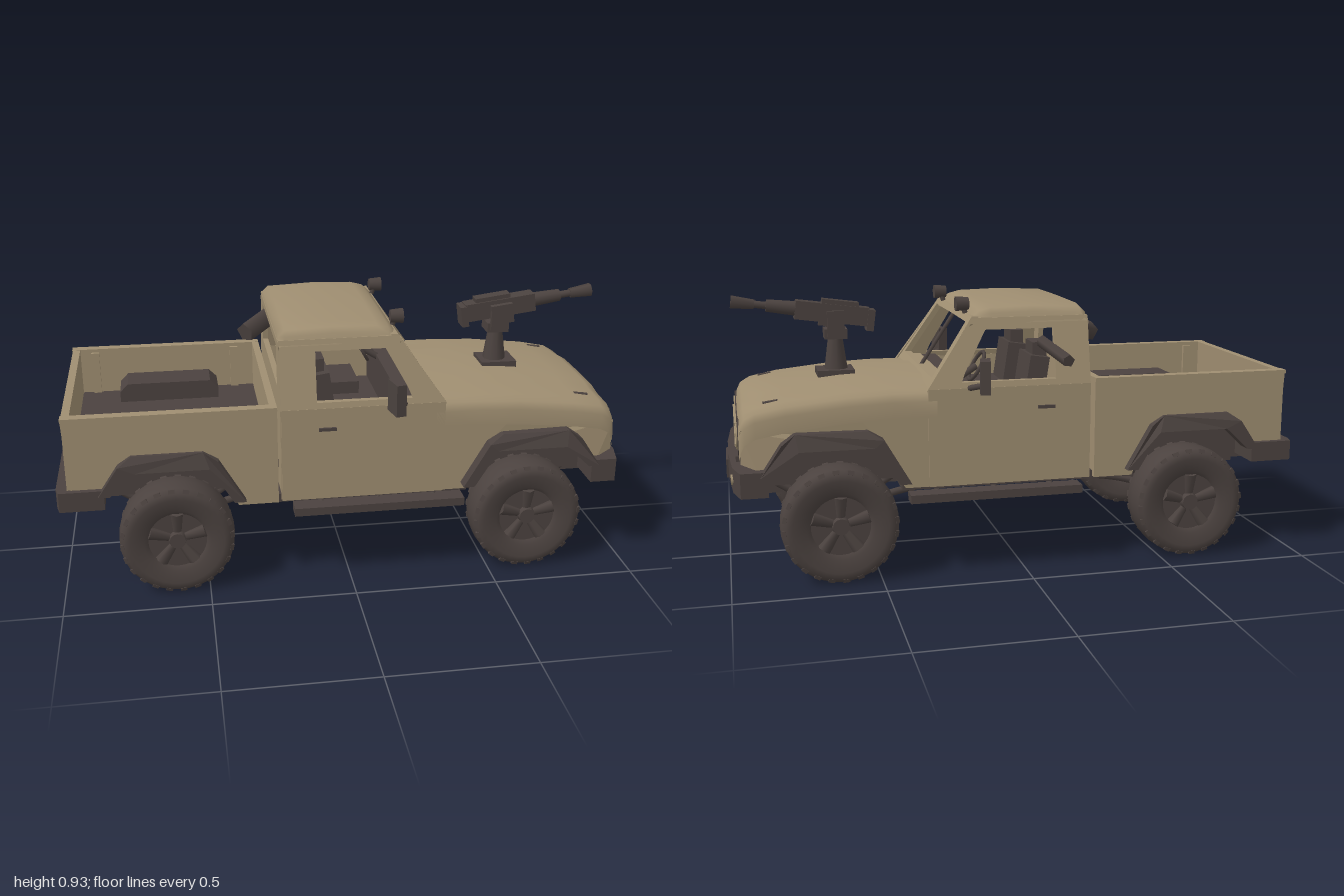
import * as THREE from 'three';

const paint = new THREE.MeshStandardMaterial({ color: 0x9f8e71, side: THREE.DoubleSide });
paint.name = 'sand paint';
const trim = new THREE.MeshStandardMaterial({ color: 0x4b423f, side: THREE.DoubleSide });
trim.name = 'dark trim';

export function createModel() {
  const root = new THREE.Group();
  root.name = 'pickupTruck';

  const add = (geo, mat, name, parent = root) => {
    const m = new THREE.Mesh(geo, mat);
    m.name = name;
    parent.add(m);
    return m;
  };
  // Box given by its min and max corners
  const box = (x0, x1, y0, y1, z0, z1, mat, name, parent = root) => {
    const m = add(new THREE.BoxGeometry(x1 - x0, y1 - y0, z1 - z0), mat, name, parent);
    m.position.set((x0 + x1) / 2, (y0 + y1) / 2, (z0 + z1) / 2);
    return m;
  };
  // Rod between two points
  const rod = (a, b, r0, r1, mat, name, parent = root, sides = 10) => {
    const p = new THREE.Vector3(...a), q = new THREE.Vector3(...b), d = q.clone().sub(p);
    const m = add(new THREE.CylinderGeometry(r1, r0, d.length(), sides), mat, name, parent);
    m.position.copy(p).add(q).multiplyScalar(0.5);
    m.quaternion.setFromUnitVectors(new THREE.Vector3(0, 1, 0), d.normalize());
    return m;
  };
  const tube = (pts, r, mat, name) => add(new THREE.TubeGeometry(
    new THREE.CatmullRomCurve3(pts.map(p => new THREE.Vector3(...p))), 16, r, 7), mat, name);
  // Flat outline, with optional hole, extruded from z0 to z1
  const extrude = (pts, z0, z1, hole) => {
    const s = new THREE.Shape(pts.map(p => new THREE.Vector2(...p)));
    if (hole) s.holes.push(new THREE.Path(hole.map(p => new THREE.Vector2(...p))));
    return new THREE.ExtrudeGeometry(s, { depth: z1 - z0, bevelEnabled: false }).translate(0, 0, z0);
  };
  const warp = (geo, fn) => {
    const p = geo.attributes.position, v = new THREE.Vector3();
    for (let i = 0; i < p.count; i++) {
      fn(v.fromBufferAttribute(p, i));
      p.setXYZ(i, v.x, v.y, v.z);
    }
    geo.computeVertexNormals();
    return geo;
  };
  // Skin through open cross-sections, rows of [x, y, z]
  const loft = rows => {
    const n = rows[0].length, idx = [];
    for (let i = 0; i < rows.length - 1; i++) for (let j = 0; j < n - 1; j++) {
      const a = i * n + j, b = a + n;
      idx.push(a, a + 1, b, b, a + 1, b + 1);
    }
    const g = new THREE.BufferGeometry();
    g.setAttribute('position', new THREE.Float32BufferAttribute(rows.flat(2), 3));
    g.setIndex(idx);
    g.computeVertexNormals();
    return g;
  };
  const mirrorRow = half => [...half, ...half.slice(0, -1).reverse().map(([x, y, z]) => [x, y, -z])];

  // Front body block with wheel arches, narrowing at the nose
  add(warp(extrude([[0.3, 0.31], [0.41, 0.31], [0.43, 0.34], [0.5, 0.49], [0.74, 0.49], [0.82, 0.41],
    [0.9, 0.4], [0.95, 0.42], [0.95, 0.53], [0.9, 0.56], [0.6, 0.6], [0.3, 0.61]], -0.354, 0.354),
  v => { v.z *= 1 - 0.75 * Math.max(0, v.x - 0.88); }), paint, 'frontBody');
  // Hood
  add(loft([[0.3, 0.652, 0.36], [0.45, 0.652, 0.36], [0.6, 0.645, 0.36], [0.8, 0.624, 0.358], [0.9, 0.605, 0.352],
    [0.935, 0.585, 0.345], [0.95, 0.555, 0.338], [0.954, 0.53, 0.333]].map(([x, y, w]) => mirrorRow([
    [x, y - 0.1, w], [x, y - 0.045, w], [x, y - 0.018, w - 0.014], [x, y - 0.005, w - 0.045],
    [x, y, 0.2], [x, y + 0.01, 0.15], [x, y + 0.012, 0]]))), paint, 'hood');
  // Nose: three grille slots and headlights
  for (const [y, w] of [[0.457, 0.145], [0.497, 0.155], [0.535, 0.165]]) {
    box(0.95, 0.957, y - 0.011, y + 0.011, -w, w, trim, 'grilleSlot');
    box(0.95, 0.966, y - 0.022, y - 0.011, -w, w, paint, 'grilleBar');
  }
  for (const s of [-1, 1]) {
    for (const [r, x, mat, name] of [[0.066, 0.952, trim, 'headlightBezel'], [0.045, 0.957, paint, 'headlight']]) {
      const m = add(new THREE.CylinderGeometry(r, r, 0.009, name === 'headlight' ? 12 : 6), mat, name);
      m.rotation.z = Math.PI / 2;
      m.position.set(x, 0.495, s * 0.245);
    }
    rod([0.82, 0.615, s * 0.27], [0.87, 0.608, s * 0.27], 0.006, 0.006, trim, 'hoodLatch');
  }

  // Cab sides, leaning in above the belt line
  for (const s of [-1, 1]) {
    const span = (a, b) => s > 0 ? [a, b] : [-b, -a];
    add(extrude([[-0.238, 0.31], [0.33, 0.31], [0.33, 0.645], [-0.238, 0.645]], ...span(0.335, 0.36)), paint, 'door');
    add(warp(extrude([[-0.238, 0.64], [0.335, 0.64], [0.3, 0.69], [0.17, 0.875], [-0.238, 0.875]], ...span(0.338, 0.36),
      [[-0.115, 0.665], [0.215, 0.665], [0.2, 0.7], [0.125, 0.835], [-0.115, 0.835]]),
    v => { v.z -= s * (v.y - 0.64) * 0.23; }), paint, 'cabSide');
    box(-0.11, -0.05, 0.565, 0.576, ...span(0.36, 0.368), trim, 'doorHandle');
    // Mirrors
    const mirror = box(0.13, 0.165, 0.637, 0.748, ...span(0.375, 0.453), trim, 'mirror');
    mirror.rotation.y = s * 0.2;
    rod([0.2, 0.64, s * 0.34], [0.15, 0.66, s * 0.4], 0.01, 0.01, trim, 'mirrorArm');
    // Roof lamps
    rod([0.17, 0.88, s * 0.2], [0.18, 0.91, s * 0.2], 0.009, 0.009, trim, 'roofLampStem');
    rod([0.16, 0.913, s * 0.205], [0.205, 0.913, s * 0.205], 0.022, 0.026, trim, 'roofLamp');
    // Running boards
    box(-0.2, 0.4, 0.266, 0.295, ...span(0.335, 0.4), trim, 'runningBoard');
    for (const x of [-0.1, 0.1, 0.3]) rod([x, 0.28, s * 0.36], [x, 0.33, s * 0.25], 0.01, 0.01, trim, 'boardBracket');
  }
  // Roof
  add(loft([[-0.24, 0.855, 0.312], [-0.236, 0.89, 0.307], [-0.215, 0.91, 0.305], [-0.05, 0.917, 0.305], [0.1, 0.913, 0.303],
    [0.14, 0.903, 0.302], [0.165, 0.88, 0.304], [0.178, 0.855, 0.31]].map(([x, y, w]) => mirrorRow([
    [x, Math.min(0.855, y), w + 0.006], [x, y - 0.025, w - 0.006], [x, y - 0.008, w - 0.022], [x, y, w - 0.06], [x, y + 0.002, 0]]))),
  paint, 'roof');
  // Rear cab wall and windshield frame
  const rear = extrude([[-0.35, 0.31], [0.35, 0.31], [0.35, 0.64], [0.305, 0.87], [-0.305, 0.87], [-0.35, 0.64]], -0.24, -0.22,
    [[-0.26, 0.7], [0.26, 0.7], [0.245, 0.845], [-0.245, 0.845]]);
  add(rear.rotateY(Math.PI / 2), paint, 'rearCabWall');
  const screen = extrude([[-0.355, 0.635], [0.355, 0.635], [0.305, 0.88], [-0.305, 0.88]], 0.305, 0.33,
    [[-0.295, 0.675], [0.295, 0.675], [0.268, 0.86], [-0.268, 0.86]]).rotateY(Math.PI / 2);
  add(warp(screen, v => { v.x -= (v.y - 0.64) * 0.67; }), paint, 'windshieldFrame');
  rod([0.3, 0.66, 0], [0.165, 0.865, 0], 0.007, 0.007, trim, 'windshieldBar');

  // Cab interior
  box(-0.22, 0.31, 0.32, 0.5, -0.335, 0.335, trim, 'cabFloor');
  box(0.18, 0.24, 0.5, 0.655, -0.335, 0.335, trim, 'dashboard');
  box(0.24, 0.3, 0.5, 0.66, -0.335, 0.335, paint, 'cowl');
  for (const z of [0.16, -0.16]) {
    box(-0.08, 0.1, 0.5, 0.58, z - 0.1, z + 0.1, trim, 'seatCushion');
    box(-0.11, -0.04, 0.52, 0.725, z - 0.08, z + 0.08, trim, 'seatBack').rotation.z = 0.15;
    box(-0.12, -0.07, 0.69, 0.77, z - 0.05, z + 0.05, trim, 'headrest');
  }
  const wheelRing = add(new THREE.TorusGeometry(0.055, 0.007, 6, 20), trim, 'steeringWheel');
  wheelRing.position.set(0.12, 0.685, -0.15);
  wheelRing.rotation.set(0, Math.PI / 2, 0.5, 'ZYX');
  rod([0.12, 0.685, -0.15], [0.2, 0.635, -0.15], 0.012, 0.012, trim, 'steeringColumn');
  // Stowed gear reaching out of the rear and side windows
  rod([-0.22, 0.815, -0.19], [-0.32, 0.785, -0.08], 0.036, 0.036, trim, 'stowedGear', root, 5);
  rod([-0.1, 0.775, -0.22], [-0.13, 0.74, -0.45], 0.022, 0.022, trim, 'stowedBar', root, 5);

  // Cargo bed
  for (const s of [-1, 1]) {
    const [a, b] = s > 0 ? [0.338, 0.368] : [-0.368, -0.338];
    add(extrude([[-0.965, 0.66], [-0.95, 0.4], [-0.83, 0.4], [-0.75, 0.49], [-0.48, 0.49], [-0.39, 0.31], [-0.252, 0.31],
      [-0.252, 0.66]], a, b), paint, 'bedSide');
    box(-0.965, -0.252, 0.65, 0.663, s > 0 ? 0.338 : -0.374, s > 0 ? 0.374 : -0.338, paint, 'bedRail');
    const arch = [[-0.79, 0.47], [-0.79, 0.53], [-0.76, 0.56], [-0.45, 0.56], [-0.42, 0.53], [-0.42, 0.47]];
    add(extrude(arch, s > 0 ? 0.21 : -0.34, s > 0 ? 0.34 : -0.21), trim, 'bedWheelBox');
    for (const x of [-0.88, -0.35]) box(x - 0.015, x + 0.015, 0.48, 0.65, s * 0.333 - 0.008, s * 0.333 + 0.008, paint, 'bedRib');
  }
  box(-0.962, -0.935, 0.4, 0.662, -0.366, 0.366, paint, 'tailgate');
  box(-0.277, -0.252, 0.31, 0.662, -0.366, 0.366, paint, 'bedFrontWall');
  box(-0.94, -0.27, 0.46, 0.49, -0.34, 0.34, trim, 'bedFloor');

  // Underbody
  box(-0.92, 0.9, 0.32, 0.47, -0.25, 0.25, trim, 'underbody');
  box(-0.39, 0.42, 0.3, 0.33, -0.345, 0.345, trim, 'floorPan');
  for (const s of [-1, 1]) box(-0.85, 0.85, 0.292, 0.34, s * 0.17 - 0.025, s * 0.17 + 0.025, trim, 'frameRail');

  // Bumpers, bowed in plan
  const bumper = (outline, y0, y1, name) => add(extrude(outline, -y1, -y0).rotateX(Math.PI / 2), trim, name);
  bumper([[0.865, -0.388], [0.955, -0.388], [0.978, -0.3], [0.99, -0.1], [0.99, 0.1], [0.978, 0.3], [0.955, 0.388], [0.865, 0.388]],
    0.317, 0.402, 'frontBumper');
  bumper([[-0.84, 0.388], [-0.99, 0.388], [-1, 0.35], [-1, -0.35], [-0.99, -0.388], [-0.84, -0.388]], 0.335, 0.405, 'rearBumper');
  box(0.985, 0.998, 0.315, 0.38, -0.09, 0.09, trim, 'frontPlate');
  box(0.8, 0.92, 0.275, 0.32, -0.18, 0.18, trim, 'skidPlate');
  for (const s of [-1, 1]) {
    rod([0.973, 0.36, s * 0.29], [0.984, 0.36, s * 0.29], 0.017, 0.017, paint, 'bumperLamp');
    box(0.93, 0.965, 0.39, 0.42, s * 0.2 - 0.02, s * 0.2 + 0.02, trim, 'bumperBracket');
  }

  // Wheels, flares and suspension at each axle
  const tyre = new THREE.LatheGeometry([[0.1, -0.05], [0.115, -0.062], [0.16, -0.07], [0.182, -0.066], [0.195, -0.05],
    [0.199, 0], [0.195, 0.05], [0.182, 0.066], [0.16, 0.07], [0.115, 0.062], [0.1, 0.05]].map(p => new THREE.Vector2(...p)), 36)
    .rotateX(Math.PI / 2);
  const flare = x => [[-0.255, 0.385], [-0.185, 0.49], [-0.14, 0.52], [0.1, 0.52], [0.15, 0.49], [0.24, 0.335], [0.2, 0.335],
    [0.12, 0.465], [-0.13, 0.465], [-0.215, 0.385]].map(([u, y]) => [x > 0 ? x - u : x + u, y]);
  for (const x of [-0.605, 0.635]) {
    for (const s of [-1, 1]) {
      const wheel = new THREE.Group();
      wheel.name = 'wheel';
      wheel.position.set(x, 0.203, s * 0.338);
      wheel.rotation.y = s > 0 ? 0 : Math.PI;
      root.add(wheel);
      add(tyre, trim, 'tyre', wheel);
      for (let i = 0; i < 24; i++) for (const k of [-1, 1]) {
        const a = (i + k * 0.25) / 24 * Math.PI * 2;
        const lug = add(new THREE.BoxGeometry(0.014, 0.022, 0.03), trim, 'treadLug', wheel);
        lug.position.set(Math.cos(a) * 0.183, Math.sin(a) * 0.183, k * 0.05);
        lug.rotation.set(0, k * 0.4, a, 'ZYX');
      }
      rod([0, 0, -0.03], [0, 0, 0.042], 0.104, 0.104, trim, 'rim', wheel, 24);
      rod([0, 0, 0.02], [0, 0, 0.062], 0.035, 0.028, trim, 'hub', wheel, 12);
      for (let i = 0; i < 5; i++) {
        const a = i / 5 * Math.PI * 2 + 0.3, c = Math.cos(a), d = Math.sin(a);
        rod([c * 0.03, d * 0.03, 0.038], [c * 0.1, d * 0.1, 0.045], 0.016, 0.024, trim, 'spoke', wheel, 6);
      }
      const [a, b] = s > 0 ? [0.34, 0.4] : [-0.4, -0.34];
      add(warp(extrude(flare(x), a, b), v => { if (Math.abs(v.z) > 0.37 && v.y > 0.5) v.z -= s * 0.02; }), trim, 'fenderFlare');
      box(x - 0.14, x + 0.13, 0.44, 0.49, s > 0 ? 0.24 : -0.345, s > 0 ? 0.345 : -0.24, trim, 'wheelWell');
      // Springs, dampers and trailing arms
      const d = x > 0 ? -1 : 1;
      tube([[x - 0.2, 0.32, s * 0.2], [x - 0.1, 0.26, s * 0.2], [x, 0.235, s * 0.2], [x + 0.1, 0.26, s * 0.2], [x + 0.2, 0.32, s * 0.2]],
        0.014, trim, 'leafSpring');
      tube([[x, 0.19, s * 0.22], [x + d * 0.2, 0.255, s * 0.2], [x + d * 0.5, 0.285, s * 0.16]], 0.013, trim, 'trailingArm');
      rod([x + 0.03, 0.2, s * 0.15], [x + 0.05, 0.36, s * 0.15], 0.016, 0.016, trim, 'damper');
    }
    rod([x, 0.215, -0.3], [x, 0.215, 0.3], 0.024, 0.024, trim, 'axle');
    add(new THREE.SphereGeometry(0.045, 12, 8), trim, 'differential').position.set(x, 0.225, 0);
    const tx = x + Math.sign(x) * 0.06;
    tube([[tx, 0.16, -0.27], [tx, 0.18, -0.2], [tx, 0.225, -0.08], [tx, 0.225, 0.08], [tx, 0.18, 0.2], [tx, 0.16, 0.27]], 0.013, trim, 'tieRod');
  }
  rod([-0.6, 0.27, 0], [0.63, 0.27, 0], 0.015, 0.015, trim, 'driveShaft');

  // Hood mount and gun
  box(0.54, 0.67, 0.645, 0.672, -0.06, 0.06, trim, 'mountBase');
  rod([0.6, 0.67, 0], [0.6, 0.8, 0], 0.042, 0.024, trim, 'mountPost');
  box(0.56, 0.64, 0.78, 0.815, -0.04, 0.04, trim, 'yoke');
  for (const s of [-1, 1]) box(0.57, 0.63, 0.79, 0.88, s * 0.042 - 0.008, s * 0.042 + 0.008, trim, 'yokeArm');
  const gun = new THREE.Group();
  gun.name = 'mountedGun';
  gun.position.set(0.6, 0.865, 0);
  gun.rotation.z = 0.13;
  root.add(gun);
  box(-0.12, 0.14, -0.03, 0.035, -0.03, 0.03, trim, 'receiver', gun);
  box(-0.08, 0.05, 0.03, 0.05, -0.024, 0.024, trim, 'topCover', gun);
  box(-0.03, 0.05, -0.05, 0.02, 0.03, 0.052, trim, 'ammoBox', gun);
  rod([0.14, 0.005, 0], [0.24, 0.005, 0], 0.026, 0.022, trim, 'barrelJacket', gun);
  rod([0.2, 0.005, 0], [0.36, 0.005, 0], 0.013, 0.013, trim, 'barrel', gun);
  rod([0.28, 0.005, 0], [0.36, 0.005, 0], 0.018, 0.025, trim, 'muzzle', gun, 6);
  box(-0.14, -0.115, -0.045, 0.03, -0.035, 0.035, trim, 'grips', gun);
  return root;
}
